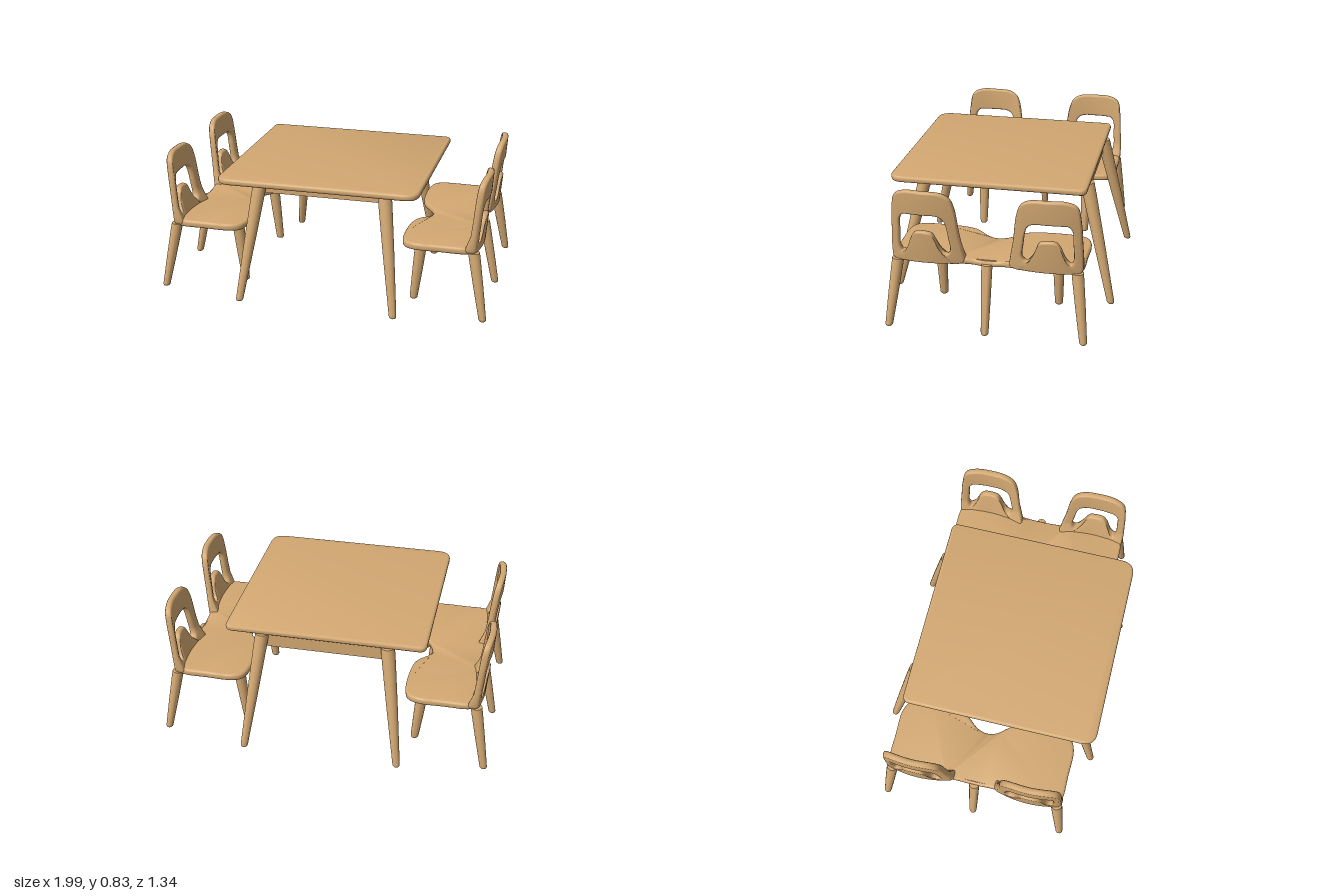
import * as THREE from 'three';
import { toCreasedNormals } from 'three/addons/utils/BufferGeometryUtils.js';

const wood = new THREE.MeshStandardMaterial({ color: 0xd3a872 });
wood.name = 'wood';

function part(name, geometry, parent) {
  const mesh = new THREE.Mesh(geometry, wood);
  mesh.name = name;
  parent.add(mesh);
  return mesh;
}

// Smooth closed curve through a few flat points
function loop(points) {
  return new THREE.CatmullRomCurve3(points.map(([a, b]) => new THREE.Vector3(a, b, 0)), true);
}

// Extruded slab with rounded edges that stays inside its outline
function slab(shape, depth, bevel) {
  return new THREE.ExtrudeGeometry(shape, {
    depth: depth - 2 * bevel, bevelThickness: bevel, bevelSize: bevel,
    bevelOffset: -bevel, bevelSegments: 3, curveSegments: 8,
  }).translate(0, 0, bevel);
}

// Move every vertex by a rule, then smooth all but the sharp edges
function reshape(geometry, rule) {
  const pos = geometry.attributes.position;
  const v = new THREE.Vector3();
  for (let i = 0; i < pos.count; i++) {
    v.fromBufferAttribute(pos, i);
    rule(v);
    pos.setXYZ(i, v.x, v.y, v.z);
  }
  return toCreasedNormals(geometry, 0.8);
}

// Tapered round leg, sheared so that its foot stays flat on the floor
function leg(name, top, foot, rTop, rFoot, parent) {
  const h = top[1];
  const profile = [
    [0, 0], [rFoot * 0.75, 0], [rFoot * 0.95, 0.006], [rFoot, 0.016],
    [rFoot + (rTop - rFoot) * 0.6, h * 0.5], [rTop * 0.98, h * 0.88], [rTop, h], [0, h],
  ].map(p => new THREE.Vector2(...p));
  const geometry = new THREE.LatheGeometry(profile, 20).toNonIndexed();
  part(name, reshape(geometry, v => {
    const t = v.y / h;
    v.x += foot[0] + (top[0] - foot[0]) * t;
    v.z += foot[2] + (top[2] - foot[2]) * t;
  }), parent);
}

// Backrest rim: matching points (z, y) on the outer edge and on the tabbed opening
const rim = [
  [0.34, 0.39], [0.4, 0.39], [0.44, 0.39], [0.475, 0.39], [0.508, 0.39], [0.534, 0.403],
  [0.54, 0.45], [0.534, 0.58], [0.526, 0.7], [0.505, 0.798], [0.45, 0.826], [0.34, 0.828],
  [0.25, 0.823], [0.2, 0.795], [0.175, 0.74], [0.15, 0.56], [0.13, 0.45], [0.125, 0.405],
  [0.155, 0.39], [0.2, 0.39], [0.25, 0.39], [0.29, 0.39],
];
const opening = [
  [0.345, 0.588], [0.39, 0.584], [0.415, 0.555], [0.432, 0.505], [0.45, 0.465], [0.472, 0.452],
  [0.487, 0.48], [0.485, 0.58], [0.48, 0.655], [0.46, 0.683], [0.42, 0.687], [0.345, 0.687],
  [0.27, 0.685], [0.237, 0.667], [0.222, 0.635], [0.209, 0.55], [0.202, 0.48], [0.22, 0.452],
  [0.25, 0.458], [0.272, 0.505], [0.288, 0.555], [0.305, 0.58],
];

// Arch lofted around the opening, curled round the sitter and leaning out
function backrest(side, parent) {
  const outer = loop(rim), inner = loop(opening);
  const T = 0.04;
  // Rounded section: [inset from its edge, depth, 1 if measured from the inner edge]
  const corner = [[0, 0.013], [0.004, 0.004], [0.013, 0]];
  const section = [
    ...corner.map(([d, w]) => [d, w, 0]),
    ...corner.slice().reverse().map(([d, w]) => [d, w, 1]),
    ...corner.map(([d, w]) => [d, T - w, 1]),
    ...corner.slice().reverse().map(([d, w]) => [d, T - w, 0]),
  ];
  if (side < 0) section.reverse();
  const N = 110, M = section.length;
  const positions = [], index = [];
  for (let i = 0; i < N; i++) {
    const a = outer.getPoint(i / N), b = inner.getPoint(i / N);
    const width = a.distanceTo(b);
    section.forEach(([d, w, fromInner], j) => {
      const p = a.clone().lerp(b, fromInner ? 1 - d / width : d / width);
      const off = p.x - 0.34;
      const swell = 1 + 0.7 * THREE.MathUtils.clamp((0.5 - p.y) / 0.1, 0, 1);
      const lean = 0.937 + 0.033 * THREE.MathUtils.clamp((p.y - 0.39) / 0.4, 0, 1);
      positions.push(lean - 0.75 * off * off - (T - w) * swell, p.y, side * p.x);
      const k = (j + 1) % M, n = (i + 1) % N;
      index.push(i * M + j, n * M + j, n * M + k, i * M + j, n * M + k, i * M + k);
    });
  }
  const geometry = new THREE.BufferGeometry();
  geometry.setAttribute('position', new THREE.Float32BufferAttribute(positions, 3));
  geometry.setIndex(index);
  geometry.computeVertexNormals();
  part('backrest', geometry, parent);
}

// A pair of joined chairs on the +x side
function chairPair(name) {
  const pair = new THREE.Group();
  pair.name = name;

  // Joined seats, dipping slightly where they meet
  const half = [
    [0.56, 0.06], [0.5, 0.14], [0.477, 0.23], [0.476, 0.44], [0.5, 0.51], [0.56, 0.538],
    [0.72, 0.539], [0.85, 0.537], [0.888, 0.52], [0.908, 0.44], [0.918, 0.34], [0.91, 0.22],
    [0.9, 0.12],
  ];
  const points = [[0.575, 0], ...half, [0.9, 0],
    ...half.slice().reverse().map(([x, z]) => [x, -z])];
  const edge = loop(points).getSpacedPoints(120).slice(0, -1);
  const seat = slab(new THREE.Shape(edge.map(p => new THREE.Vector2(p.x, p.y))), 0.042, 0.014);
  seat.rotateX(-Math.PI / 2).translate(0, 0.388, 0);
  part('seats', reshape(seat, v => {
    if (v.y > 0.4) v.y -= 0.015 * Math.exp(-((v.z / 0.1) ** 2));
  }), pair);

  for (const s of [1, -1]) {
    backrest(s, pair);
    leg('rearLeg', [0.9, 0.4, s * 0.508], [0.973, 0, s * 0.558], 0.034, 0.022, pair);
    leg('frontLeg', [0.573, 0.4, s * 0.35], [0.53, 0, s * 0.35], 0.036, 0.024, pair);
  }
  leg('sharedRearLeg', [0.893, 0.4, 0], [0.974, 0, 0], 0.031, 0.022, pair);
  return pair;
}

function table() {
  const group = new THREE.Group();
  group.name = 'table';

  // Top with large front corners and small back corners
  const x = 0.593, front = -0.65, back = 0.503, r = 0.085, q = 0.045;
  const s = new THREE.Shape();
  s.moveTo(-x + r, front);
  s.lineTo(x - r, front).quadraticCurveTo(x, front, x, front + r);
  s.lineTo(x, back - q).quadraticCurveTo(x, back, x - q, back);
  s.lineTo(-x + q, back).quadraticCurveTo(-x, back, -x, back - q);
  s.lineTo(-x, front + r).quadraticCurveTo(-x, front, -x + r, front);
  const top = slab(s, 0.037, 0.013).rotateX(-Math.PI / 2).translate(0, 0.72, 0);
  part('tableTop', toCreasedNormals(top, 0.8), group);

  // Apron rails and splayed legs
  for (const a of [1, -1]) {
    part('sideRail', new THREE.BoxGeometry(0.05, 0.092, 0.94), group).position.set(a * 0.355, 0.68, 0);
    part('crossRail', new THREE.BoxGeometry(0.7, 0.092, 0.05), group).position.set(0, 0.68, a * 0.455);
    for (const b of [1, -1]) {
      leg('tableLeg', [a * 0.37, 0.722, b * 0.478], [a * 0.467, 0, b * 0.65], 0.041, 0.022, group);
    }
  }
  return group;
}

export function createModel() {
  const model = new THREE.Group();
  model.name = 'diningSet';
  const left = chairPair('leftChairs');
  const right = chairPair('rightChairs');
  right.rotation.y = Math.PI;
  model.add(table(), left, right);
  return model;
}
